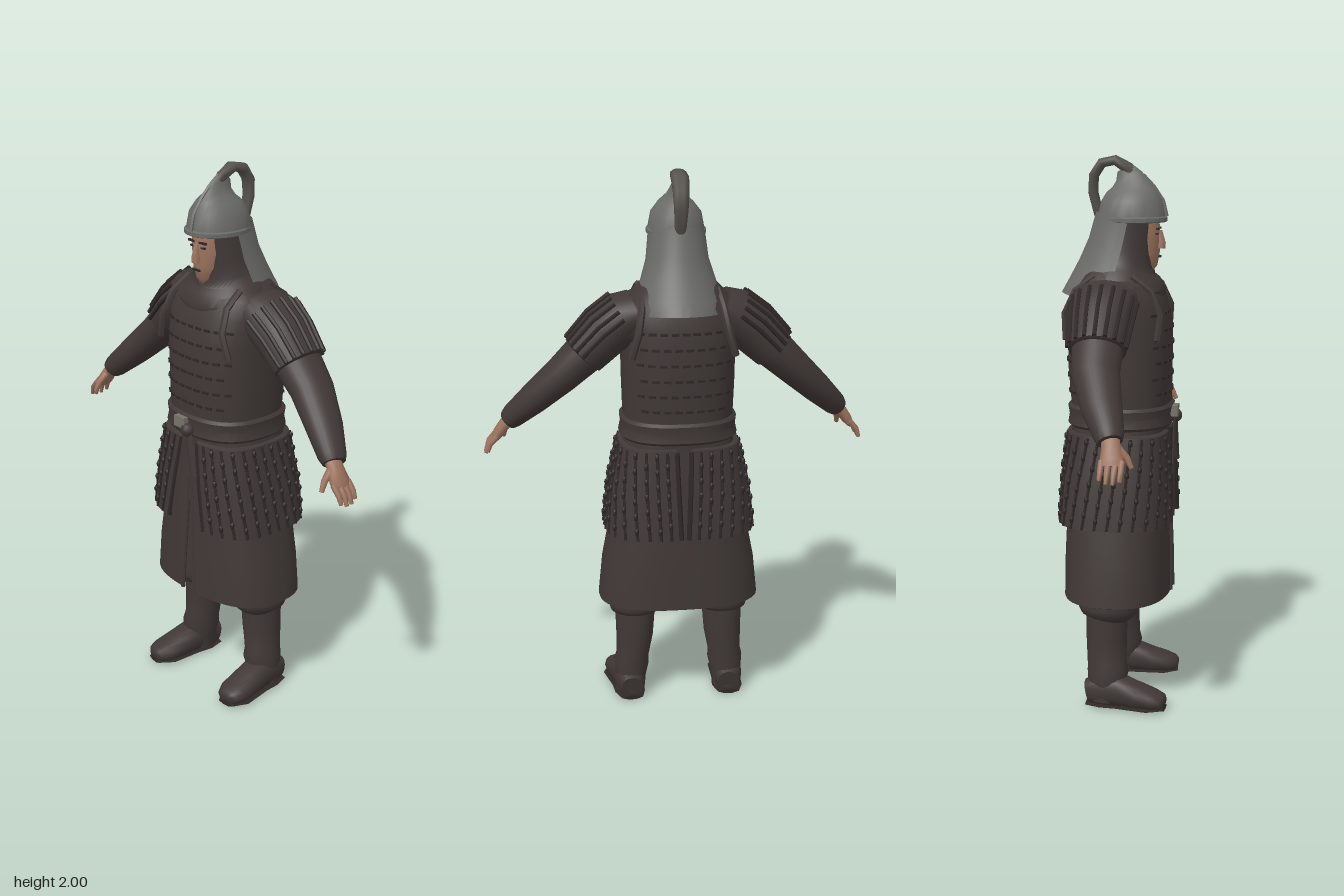
import * as THREE from 'three';
import { mergeGeometries, toCreasedNormals } from 'three/addons/utils/BufferGeometryUtils.js';

const V = (x, y, z) => new THREE.Vector3(x, y, z);
const RAD = Math.PI / 180;
const AXIS = { x: V(1, 0, 0), y: V(0, 1, 0), z: V(0, 0, 1) };

const mat = (name, color, side = THREE.FrontSide) => {
  const m = new THREE.MeshStandardMaterial({ color, side });
  m.name = name;
  return m;
};

// Superellipse radius at a polar angle
const radius = (a, b, e, th) =>
  Math.pow(Math.pow(Math.abs(Math.cos(th)) / a, e) + Math.pow(Math.abs(Math.sin(th)) / b, e), -1 / e);

// Skin through sections [x, y, z, a, b, startAngle, endAngle]; without angles the tube is closed and capped
function loft(secs, { n = 28, e = 2, ref = 'z', crease = 0.7 } = {}) {
  const open = secs[0].length > 5;
  let rings = secs.map((s, i) => {
    const p = secs[Math.max(i - 1, 0)], q = secs[Math.min(i + 1, secs.length - 1)];
    const t = V(q[0] - p[0], q[1] - p[1], q[2] - p[2]).normalize();
    const v = AXIS[ref].clone().addScaledVector(t, -t.dot(AXIS[ref])).normalize();
    return { s, v, u: t.clone().cross(v), k: 1 };
  });
  if (!open) rings = [{ ...rings[0], k: 0.001 }, ...rings, { ...rings.at(-1), k: 0.001 }];
  const cols = open ? n + 1 : n, pos = [], idx = [];
  for (const { s, u, v, k } of rings) {
    const t0 = (open ? s[5] : 0) * RAD, t1 = (open ? s[6] : 360) * RAD;
    for (let j = 0; j < cols; j++) {
      const th = t0 + (t1 - t0) * j / n, r = radius(s[3], s[4], e, th) * k;
      const p = V(s[0], s[1], s[2]).addScaledVector(u, r * Math.cos(th)).addScaledVector(v, r * Math.sin(th));
      pos.push(p.x, p.y, p.z);
    }
  }
  for (let i = 0; i < rings.length - 1; i++) for (let j = 0; j < n; j++) {
    const a = i * cols + j, b = i * cols + (j + 1) % cols;
    idx.push(a, a + cols, b, b, a + cols, b + cols);
  }
  const g = new THREE.BufferGeometry();
  g.setAttribute('position', new THREE.Float32BufferAttribute(pos, 3));
  g.setIndex(idx);
  return toCreasedNormals(g, crease);
}

// Point on an upright loft (sections listed from low to high)
function on(secs, y, deg, e, off = 0) {
  let i = 0;
  while (i < secs.length - 2 && secs[i + 1][1] < y) i++;
  const p = secs[i], q = secs[i + 1], f = (y - p[1]) / (q[1] - p[1]);
  const m = k => p[k] + (q[k] - p[k]) * f;
  const th = deg * RAD, r = radius(m(3), m(4), e, th) + off;
  return V(m(0) + r * Math.cos(th), y, m(2) + r * Math.sin(th));
}
const strip = (pts, a, b = a, opt = {}) => loft(pts.map(p => [p.x, p.y, p.z, a, b]), { n: 6, ...opt });

export function createModel() {
  const model = new THREE.Group();
  const armor = mat('dark armor', 0x40383a & 0xffff00 | 0x36), armor2 = mat('armor cloth', 0x403836, THREE.DoubleSide);
  const trim = mat('lacing', 0x2e2827), steel = mat('helmet steel', 0x6a6b67, THREE.DoubleSide);
  const plumeMat = mat('plume', 0x55514c), skin = mat('skin', 0x9c735e), buckleMat = mat('buckle metal', 0x77736c);
  const add = (name, geo, m) => {
    const mesh = new THREE.Mesh(geo, m);
    mesh.name = name;
    model.add(mesh);
    return mesh;
  };
  const box = (w, h, d, x, y, z) => new THREE.BoxGeometry(w, h, d).translate(x, y, z);

  // Torso
  const torso = [[0, 1, 0, .195, .172], [0, 1.1, .005, .2, .18], [0, 1.25, 0, .205, .187], [0, 1.38, 0, .207, .188],
    [0, 1.47, -.008, .212, .176], [0, 1.54, -.018, .2, .15], [0, 1.59, -.02, .14, .11], [0, 1.63, -.01, .08, .08]];
  add('torso', loft(torso, { n: 48, e: 2.5 }), armor);

  // Rows of short lacing on the torso
  const dashes = [];
  for (let row = 0; row < 6; row++) for (let k = 0; k < 30; k++) {
    const y = 1.16 + row * .057, deg = k * 12 + (row % 2) * 4;
    if (Math.abs(Math.cos(deg * RAD)) > .8) continue;
    const p = on(torso, y, deg, 2.5, .001), q = on(torso, y, deg + 2, 2.5, .001).sub(p);
    dashes.push(new THREE.BoxGeometry(.026, .009, .008).rotateY(Math.atan2(-q.z, q.x)).translate(p.x, p.y, p.z));
  }
  add('torsoLacing', mergeGeometries(dashes), trim);

  // Skirt with a front slit
  const skirt = [[0, .4, -.003, .285, .185, 99, 441], [0, .405, -.003, .298, .195, 99, 441], [0, .55, -.003, .283, .193, 97, 443],
    [0, .72, -.003, .25, .187, 94, 446], [0, .9, 0, .218, .177, 90, 450], [0, 1.05, 0, .2, .17, 90, 450]];
  add('skirt', loft(skirt, { n: 56, e: 2.6 }), armor2);
  for (const d of [99, 81]) add('skirtEdge', strip([.405, .55, .72, .88].map((y, i) =>
    on(skirt, y, 90 + Math.sign(d - 90) * (9.5 - i * 2.6), 2.6)), .008), armor);

  // Hip guards with vertical lacing
  const hip = [[0, .68, -.004, .25, .185], [0, .683, -.004, .275, .209], [0, .85, -.002, .255, .2], [0, 1.015, 0, .218, .184], [0, 1.02, 0, .2, .17]];
  for (const s of [1, -1]) {
    const ang = y => [64 + (y - .68) * 38, -86 + (y - .68) * 14];
    const range = y => {
      const [f, b] = ang(y);
      return s > 0 ? [b, f] : [180 - f, 180 - b];
    };
    add('hipGuard', loft(hip.map(h => [...h, ...range(h[1])]), { n: 40, e: 3.2 }), armor2);
    const ribs = [];
    for (let k = 0; k <= 16; k++) {
      const edge = k === 0 || k === 16;
      const pts = [.685, .77, .85, .93, 1.01].map(y => {
        const [a, b] = range(y);
        return on(hip, y, a + (b - a) * k / 16, 3.2, edge ? -.004 : 0);
      });
      ribs.push(strip(pts, edge ? .01 : .006));
      // Knots along each lace
      if (!edge) for (let y = .72 + (k % 2) * .02; y < 1; y += .055) {
        const [a, b] = range(y), p = on(hip, y, a + (b - a) * k / 16, 3.2, .004);
        ribs.push(toCreasedNormals(new THREE.IcosahedronGeometry(.009).scale(1, 1.6, 1).translate(p.x, p.y, p.z)));
      }
    }
    add('hipGuardLacing', mergeGeometries(ribs.map(g => { g.deleteAttribute('uv'); return g; })), trim);
  }

  // Belt, buckle and hanging ties
  add('belt', loft([[0, 1.035, .004, .208, .184], [0, 1.045, .004, .216, .192], [0, 1.075, .004, .209, .187],
    [0, 1.105, .004, .213, .192], [0, 1.115, .004, .204, .182]], { n: 48, e: 2.5, crease: .4 }), armor);
  add('buckle', box(.055, .04, .03, -.018, 1.085, .2), buckleMat);
  add('beltKnot', new THREE.SphereGeometry(.026, 12, 8).translate(.012, 1.06, .2), armor);
  add('beltTie', strip([V(.015, 1.07, .2), V(.03, .98, .203), V(.05, .89, .205)], .018, .007), armor);
  add('beltTie', strip([V(.005, 1.07, .2), V(-.02, .95, .2), V(-.05, .82, .2), V(-.07, .7, .203)], .012, .006), armor);

  // Mail hood and mantle
  const hood = [[0, 1.505, .002, .175, .16, 90, 450], [0, 1.52, .002, .184, .163, 90, 450], [0, 1.57, 0, .165, .143, 90, 450],
    [0, 1.6, .005, .135, .122, 90, 450], [0, 1.625, .01, .115, .112, 108, 432], [0, 1.68, .015, .1, .108, 121, 419], [0, 1.78, .02, .096, .11, 123, 417]];
  add('hood', loft(hood, { n: 44 }), armor2);

  // Face
  add('face', loft([[0, 1.59, .07, .03, .04], [0, 1.61, .075, .045, .058], [0, 1.65, .07, .06, .072], [0, 1.7, .065, .068, .078],
    [0, 1.74, .06, .07, .083], [0, 1.79, .05, .07, .08]], { n: 24, crease: 1.2 }), skin);
  add('nose', loft([[0, 1.672, .14, .018, .022], [0, 1.69, .141, .015, .022], [0, 1.735, .138, .009, .012]], { n: 8 }), skin);
  add('mouth', box(.036, .006, .008, 0, 1.642, .142), trim);
  for (const s of [1, -1]) {
    add('eye', box(.02, .006, .008, s * .028, 1.724, .135).rotateY(0), trim);
    add('eyebrow', box(.034, .007, .009, s * .029, 1.742, .137), trim);
  }

  // Helmet, brim and front ridge
  add('helmet', loft([[0, 1.765, .04, .1, .122], [0, 1.768, .04, .107, .129], [0, 1.782, .04, .107, .129], [0, 1.786, .04, .101, .122],
    [0, 1.84, .04, .091, .111], [0, 1.875, .038, .064, .09], [0, 1.897, .036, .035, .068], [0, 1.925, .03, .017, .05], [0, 1.955, .015, .011, .03]],
    { n: 36, crease: .6 }), steel);
  add('helmetRidge', strip([V(0, 1.785, .165), V(0, 1.84, .152), V(0, 1.89, .118), V(0, 1.93, .08)], .008, .007, { ref: 'x' }), steel);

  // Plume arching over the back
  add('plume', loft([[0, 1.91, .06, .025, .008], [0, 1.955, .025, .022, .018], [0, 1.982, -.02, .018, .031], [0, 1.972, -.068, .018, .034],
    [0, 1.928, -.097, .018, .03], [0, 1.87, -.1, .018, .026], [0, 1.79, -.08, .017, .02], [0, 1.73, -.055, .01, .01]],
    { n: 14, ref: 'x', crease: 1.2 }), plumeMat);

  // Neck guard behind the helmet
  add('neckGuard', loft([[0, 1.49, -.03, .165, .185, 225, 315], [0, 1.53, -.025, .162, .165, 203, 337], [0, 1.6, -.01, .137, .142, 176, 364],
    [0, 1.68, .01, .112, .128, 175, 365], [0, 1.78, .03, .101, .12, 174, 366]], { n: 32 }), steel);

  for (const s of [1, -1]) {
    const side = (list, o) => loft(list.map(([x, ...r]) => [x * s, ...r]), o);

    // Sleeve with cuff
    add('sleeve', side([[.12, 1.47, -.03, .08, .11], [.2, 1.46, -.03, .09, .11], [.26, 1.425, -.03, .086, .1], [.33, 1.36, -.03, .076, .092],
      [.42, 1.275, -.022, .066, .083], [.52, 1.18, .015, .056, .07], [.6, 1.103, .052, .044, .052], [.615, 1.088, .058, .037, .043]],
      { n: 24, crease: 1 }), armor);

    // Shoulder guard with lengthwise laces
    const guard = [[.15, 1.505, -.03, .075, .12], [.2, 1.482, -.03, .092, .12], [.265, 1.43, -.03, .094, .113],
      [.345, 1.35, -.03, .084, .102], [.349, 1.346, -.03, .07, .085]];
    add('shoulderGuard', side(guard, { n: 28 }), armor);
    const laces = [];
    for (let k = -4; k <= 4; k++) {
      const th = k * 20 * RAD;
      laces.push(strip(guard.slice(1, 4).map(([x, y, z, a, b], i) => {
        const c = Math.cos(th) * (a + .002), d = [.5, .66, .707][i];
        return V(s * (x + c * d), y + c * Math.sqrt(1 - d * d), z + Math.sin(th) * (b + .002));
      }), .008));
    }
    add('shoulderLacing', mergeGeometries(laces), trim);

    // Shoulder straps front and back
    for (const f of [1, -1]) add('shoulderStrap', strip([[1.36, .185, .157], [1.45, .16, .165], [1.53, .145, .13], [1.58, .135, .06]]
      .map(([y, x, z]) => V(s * x, y, f > 0 ? z : -z - .012)), .014, .012), armor);

    // Hand
    add('palm', side([[.6, 1.1, .055, .026, .032], [.63, 1.07, .064, .022, .034], [.655, 1.035, .069, .019, .043], [.668, 1.015, .069, .013, .04]],
      { n: 14, crease: 1.2 }), skin);
    [.035, .058, .081, .103].forEach((z, i) => {
      const l = [.85, 1, 1.02, .9][i];
      add('finger', side([[.658, 1.032, z, .011, .011], [.658 + .032 * l, 1.032 - .035 * l, z, .01, .01],
        [.658 + .043 * l, 1.032 - .068 * l, z - .002, .007, .007]], { n: 8, crease: 1.2 }), skin);
    });
    add('thumb', side([[.625, 1.07, .085, .014, .014], [.628, 1.04, .115, .012, .012], [.632, 1.005, .132, .008, .008]],
      { n: 8, ref: 'x', crease: 1.2 }), skin);

    // Trousers gathered over the boot
    add('trouserLeg', side([[.13, .8, 0, .09, .1], [.155, .55, -.01, .088, .1], [.163, .42, -.02, .094, .105], [.165, .375, -.02, .1, .11],
      [.165, .35, -.02, .092, .1], [.165, .335, -.022, .072, .078]], { n: 24, crease: 1 }), armor);

    // Boot
    add('bootShaft', side([[.165, .36, -.025, .076, .076], [.168, .25, -.027, .07, .074], [.177, .16, -.024, .061, .072],
      [.18, .13, -.02, .066, .076], [.184, .08, -.025, .058, .068], [.187, .02, -.028, .055, .064]], { n: 22, crease: 1 }), armor);
    add('bootFoot', side([[.185, .05, -.095, .04, .043], [.187, .06, -.05, .054, .058], [.193, .062, .02, .056, .06], [.2, .047, .09, .06, .045],
      [.208, .036, .15, .06, .034], [.213, .03, .185, .045, .026], [.214, .028, .196, .025, .015]], { n: 18, e: 2.6, ref: 'y', crease: 1 }), armor);
    add('bootSole', side([[.185, .008, -.098, .04, .008], [.188, .008, -.04, .058, .008], [.194, .008, .02, .056, .008],
      [.208, .008, .14, .066, .008], [.214, .008, .195, .035, .008]], { n: 12, e: 4, ref: 'y' }), trim);
  }
  return model;
}
